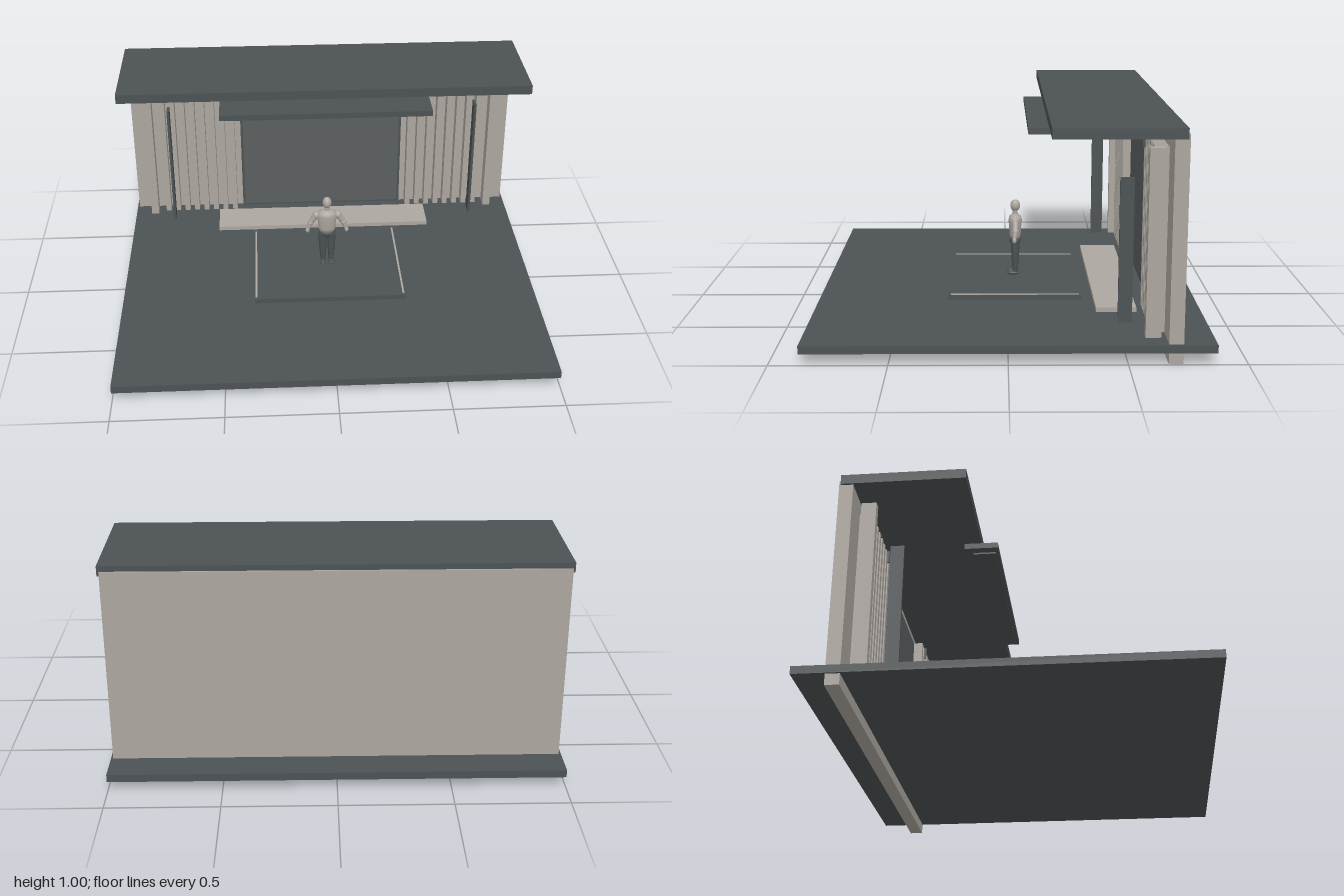
import * as THREE from 'three';

const material = (name, color) => {
  const m = new THREE.MeshStandardMaterial({ color });
  m.name = name;
  return m;
};

export function createModel() {
  const stone = material('paleStone', 0xaca69f);
  const slate = material('darkSlate', 0x4c5254);
  const screenGrey = material('screenGrey', 0x5a5e5e);

  const stage = new THREE.Group();
  stage.name = 'stage';

  const add = (parent, name, geometry, mat) => {
    const mesh = new THREE.Mesh(geometry, mat);
    mesh.name = name;
    parent.add(mesh);
    return mesh;
  };

  // Box given by its extents on each axis
  const box = (name, mat, [x0, x1], [y0, y1], [z0, z1]) => {
    const mesh = add(stage, name, new THREE.BoxGeometry(x1 - x0, y1 - y0, z1 - z0), mat);
    mesh.position.set((x0 + x1) / 2, (y0 + y1) / 2, (z0 + z1) / 2);
    return mesh;
  };

  // Main structure
  box('floor', slate, [-1, 1], [0.05, 0.085], [-0.872, 0.872]);
  box('backWall', stone, [-0.99, 0.99], [0, 0.97], [-0.73, -0.668]);
  box('roof', slate, [-1, 1], [0.95, 0.995], [-0.722, -0.175]);

  // Screen with its dark surround
  box('screenFrame', slate, [-0.425, 0.425], [0.09, 0.878], [-0.669, -0.65]);
  box('screen', screenGrey, [-0.413, 0.413], [0.1, 0.868], [-0.652, -0.645]);

  // Hanging canopy and its lower panel
  box('canopy', slate, [-0.51, 0.51], [0.888, 0.915], [-0.248, -0.092]);
  box('canopyPanel', slate, [-0.47, 0.47], [0.88, 0.889], [-0.21, -0.105]);

  // Platform and step
  box('platform', slate, [-0.365, 0.365], [0.084, 0.108], [-0.345, 0.275]);
  box('step', stone, [-0.55, 0.55], [0.084, 0.106], [-0.58, -0.398]);

  // Details mirrored on both sides
  for (const s of [-1, 1]) {
    const mirrored = (name, mat, x, width, y, z) =>
      box(name, mat, [s * x - width / 2, s * x + width / 2], y, z);

    mirrored('pillar', stone, 0.898, 0.038, [0.09, 0.9], [-0.645, -0.578]);
    mirrored('fin', slate, 0.785, 0.012, [0.115, 0.752], [-0.533, -0.472]);
    mirrored('platformStrip', stone, 0.356, 0.009, [0.105, 0.111], [-0.335, 0.26]);
    mirrored('bracket', slate, 0.518, 0.008, [0.83, 0.89], [-0.605, -0.595]);
    for (let i = 0; i < 8; i++) {
      mirrored('slat', stone, 0.827 - i * 0.0512, 0.026, [0.09, 0.892], [-0.669, -0.608]);
    }
  }

  // Standing figure, facing the front
  const figure = new THREE.Group();
  figure.name = 'figure';
  figure.position.set(0, 0.108, -0.042);
  stage.add(figure);

  const ball = (name, mat, pos, size) => {
    const mesh = add(figure, name, new THREE.SphereGeometry(1, 20, 14), mat);
    mesh.position.set(...pos);
    mesh.scale.set(...size);
  };
  // Tapered limb from a to b
  const limb = (name, mat, a, b, ra, rb) => {
    const from = new THREE.Vector3(...a);
    const dir = new THREE.Vector3(...b).sub(from);
    const mesh = add(figure, name, new THREE.CylinderGeometry(rb, ra, dir.length(), 16), mat);
    mesh.position.copy(from).addScaledVector(dir, 0.5);
    mesh.quaternion.setFromUnitVectors(new THREE.Vector3(0, 1, 0), dir.normalize());
  };

  ball('head', stone, [0, 0.344, 0], [0.022, 0.029, 0.024]);
  limb('neck', stone, [0, 0.295, 0], [0, 0.325, 0], 0.013, 0.012);
  const profile = [[0, 0.178], [0.035, 0.18], [0.042, 0.2], [0.044, 0.235],
    [0.05, 0.27], [0.044, 0.29], [0.02, 0.302], [0, 0.304]];
  const torso = add(figure, 'torso',
    new THREE.LatheGeometry(profile.map(p => new THREE.Vector2(...p)), 24), stone);
  torso.scale.z = 0.66;
  ball('hips', slate, [0, 0.172, 0], [0.042, 0.024, 0.028]);

  for (const s of [-1, 1]) {
    ball('shoulder', stone, [s * 0.054, 0.273, 0], [0.018, 0.02, 0.018]);
    limb('upperArm', stone, [s * 0.058, 0.27, 0], [s * 0.08, 0.232, 0], 0.016, 0.013);
    ball('elbow', stone, [s * 0.081, 0.231, 0], [0.015, 0.015, 0.015]);
    limb('forearm', stone, [s * 0.082, 0.23, 0], [s * 0.094, 0.2, 0.004], 0.014, 0.009);
    ball('hand', stone, [s * 0.097, 0.19, 0.005], [0.01, 0.014, 0.01]);
    limb('thigh', slate, [s * 0.022, 0.17, 0], [s * 0.021, 0.09, 0], 0.022, 0.018);
    ball('knee', slate, [s * 0.021, 0.09, 0], [0.018, 0.018, 0.018]);
    limb('shin', slate, [s * 0.021, 0.09, 0], [s * 0.02, 0.012, 0], 0.018, 0.012);
    ball('shoe', slate, [s * 0.021, 0.01, 0.01], [0.016, 0.01, 0.031]);
  }

  return stage;
}
